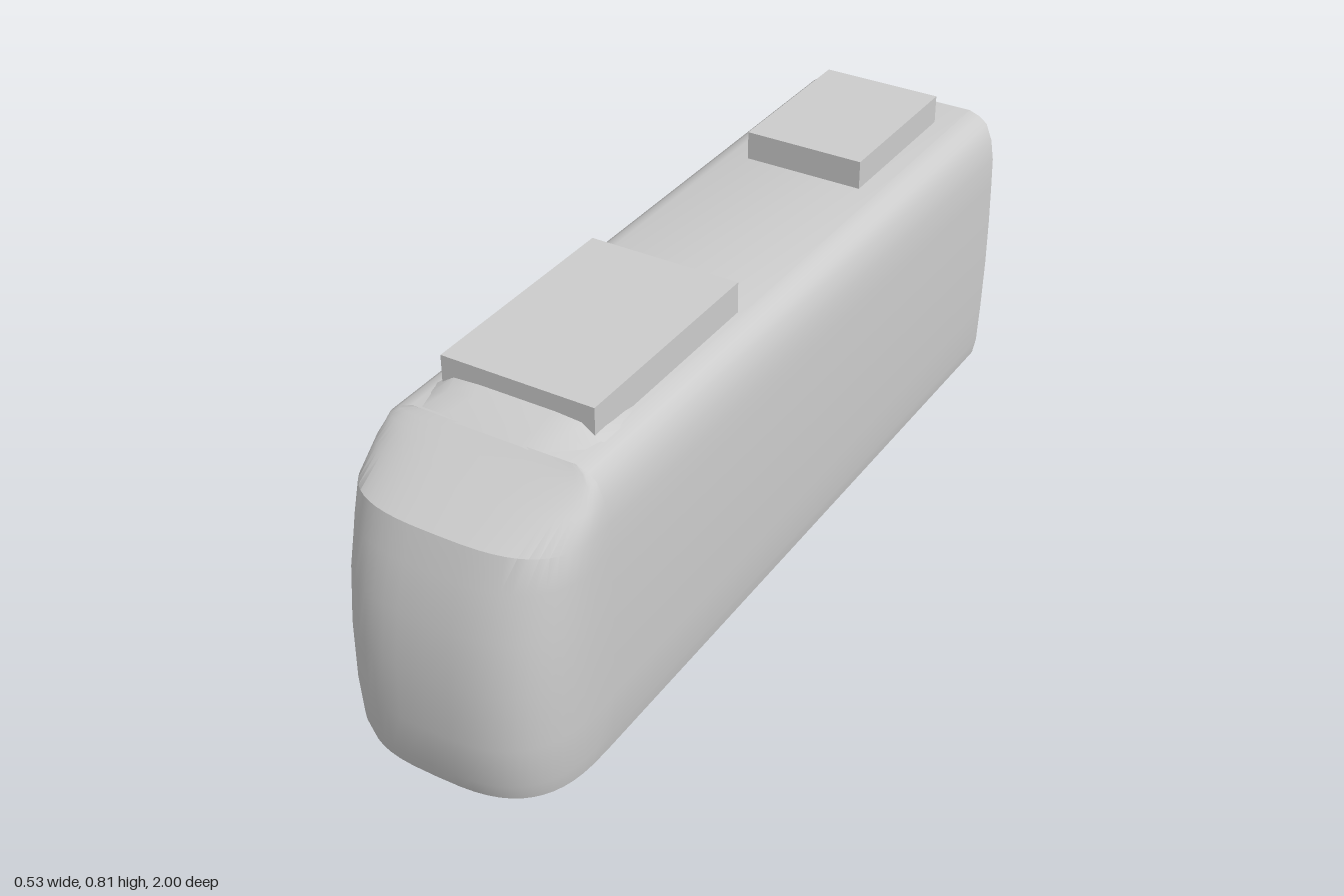
import * as THREE from 'three';
import { toCreasedNormals } from 'three/addons/utils/BufferGeometryUtils.js';

// Half outline of the body: height, half width, front reach of the nose
const PROFILE = [
  [0.058, 0.250, 0.980], [0.10, 0.258, 0.993], [0.20, 0.262, 1.000],
  [0.33, 0.265, 0.995], [0.45, 0.265, 0.977], [0.55, 0.263, 0.947],
  [0.62, 0.261, 0.920], [0.67, 0.253, 0.838], [0.71, 0.237, 0.771],
  [0.725, 0.218, 0.747], [0.735, 0.190, 0.731],
];
const NOSE_Z = 0.73;

// Skins a list of equal-length sections; the first section is capped
function loft(rows, closed) {
  const n = rows[0].length, index = [];
  for (let i = 0; i < rows.length - 1; i++) {
    for (let j = 0; j < (closed ? n : n - 1); j++) {
      const a = i * n + j, b = i * n + (j + 1) % n;
      index.push(a, b, b + n, a, b + n, a + n);
    }
  }
  for (let j = 1; j < n - 1; j++) index.push(0, j + 1, j);
  const geometry = new THREE.BufferGeometry();
  geometry.setAttribute('position', new THREE.Float32BufferAttribute(rows.flat(2), 3));
  geometry.setIndex(index);
  return toCreasedNormals(geometry, 0.6);
}

// Mirrors a right half section into a full ring at depth z
function ring(half, z) {
  const left = half.map(([x, y]) => [-x, y]).reverse();
  return [...half, ...left].map(([x, y]) => [x, y, z]);
}

export function createModel() {
  const group = new THREE.Group();
  const grey = new THREE.MeshStandardMaterial({ color: 0xcccccc, side: THREE.DoubleSide });
  grey.name = 'bodyGrey';
  const add = (name, geometry, x = 0, y = 0, z = 0) => {
    const mesh = new THREE.Mesh(geometry, grey);
    mesh.name = name;
    mesh.position.set(x, y, z);
    group.add(mesh);
  };

  // Long carriage with a slightly bevelled rear edge
  const half = PROFILE.map(([y, w]) => [w, y]);
  const inset = half.map(([x, y]) => [x * 0.975, 0.4 + (y - 0.4) * 0.985]);
  add('carriage', loft([ring(inset, -1), ring(half, -0.992), ring(half, NOSE_Z)], true));

  // Rounded nose: superellipse plan at each height
  const STEPS = 28;
  add('nose', loft(PROFILE.map(([y, w, front]) => {
    const row = [];
    for (let i = 0; i <= STEPS; i++) {
      const a = Math.PI * (i / STEPS - 0.5);
      const s = Math.sin(a), c = Math.max(0, Math.cos(a));
      row.push([
        w * Math.sign(s) * Math.abs(s) ** (2 / 3),
        y,
        NOSE_Z + (front - NOSE_Z) * c ** (2 / 3),
      ]);
    }
    return row;
  }), false));

  // Low roof fairing blending up from the windscreen: depth, half width, height
  add('roofFairing', loft([
    [0.50, 0.18, 0.742], [0.52, 0.195, 0.752], [0.58, 0.20, 0.762],
    [0.64, 0.20, 0.769], [0.68, 0.19, 0.760], [0.735, 0.175, 0.734],
  ].map(([z, w, top]) => ring([[w, 0.73], [w - 0.05, top - 0.004], [w - 0.11, top]], z)), true));

  // Roof equipment boxes
  add('frontRoofUnit', new THREE.BoxGeometry(0.356, 0.075, 0.535), 0, 0.769, 0.3775);
  add('rearRoofUnit', new THREE.BoxGeometry(0.29, 0.075, 0.395), 0, 0.765, -0.6925);

  // Eight-sided wheels half sunk in the floor
  const wheel = new THREE.CylinderGeometry(0.06, 0.06, 0.023, 8).rotateZ(Math.PI / 2);
  for (const z of [0, -0.4]) {
    for (const side of [-1, 1]) add(side > 0 ? 'leftWheel' : 'rightWheel', wheel, side * 0.167, 0.06, z);
  }
  return group;
}
